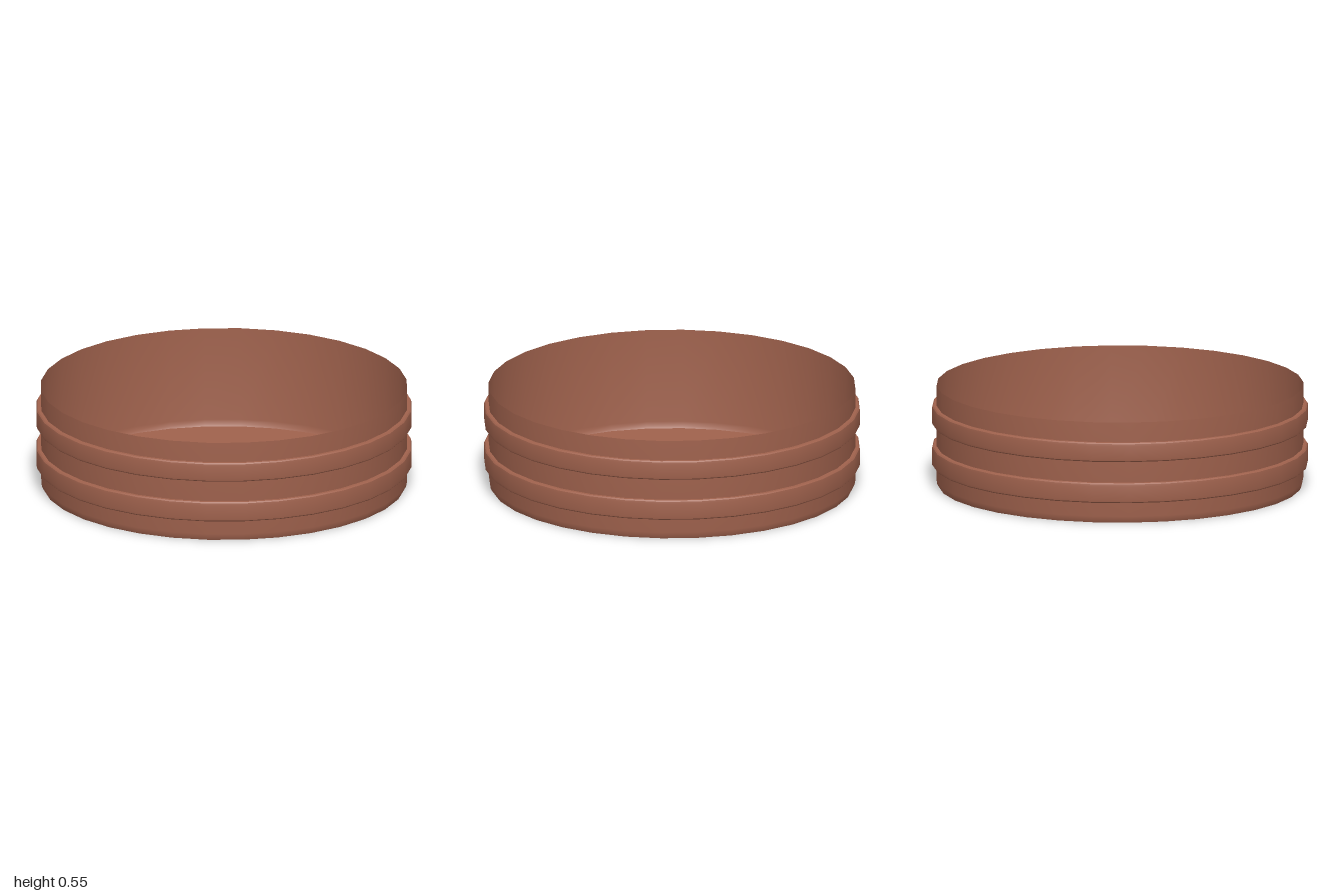
import * as THREE from 'three';
import { toCreasedNormals } from 'three/addons/utils/BufferGeometryUtils.js';

const SIDES = 32;
const APOTHEM = Math.cos(Math.PI / SIDES);

// Revolve a profile of [flat-to-flat radius, height], with a flat side facing each axis
function revolve(name, profile, material) {
  const points = profile.map(([r, y]) => new THREE.Vector2(r / APOTHEM, y));
  const lathe = new THREE.LatheGeometry(points, SIDES, Math.PI / SIDES);
  const mesh = new THREE.Mesh(toCreasedNormals(lathe, Math.PI / 6), material);
  mesh.name = name;
  return mesh;
}

export function createModel() {
  const group = new THREE.Group();
  group.name = 'roundDish';
  const clay = new THREE.MeshStandardMaterial({ color: 0xa0624d, side: THREE.DoubleSide });
  clay.name = 'terracottaBrown';

  // Thin open wall with a slightly rounded foot
  group.add(revolve('wall', [[0.965, 0], [0.971, 0.012], [0.975, 0.035], [0.975, 0.548]], clay));

  // Flat floor
  const floor = new THREE.Mesh(
    new THREE.CircleGeometry(0.965 / APOTHEM, SIDES, Math.PI / SIDES), clay);
  floor.rotation.x = -Math.PI / 2;
  floor.name = 'floor';
  group.add(floor);

  // Two raised bands with softened edges
  for (const [name, low, high] of [['lowerBand', 0.112, 0.22], ['upperBand', 0.336, 0.44]]) {
    group.add(revolve(name, [
      [0.975, low], [0.992, low], [0.998, low + 0.006], [1, low + 0.018],
      [1, high - 0.018], [0.998, high - 0.006], [0.992, high], [0.975, high],
    ], clay));
  }
  return group;
}
